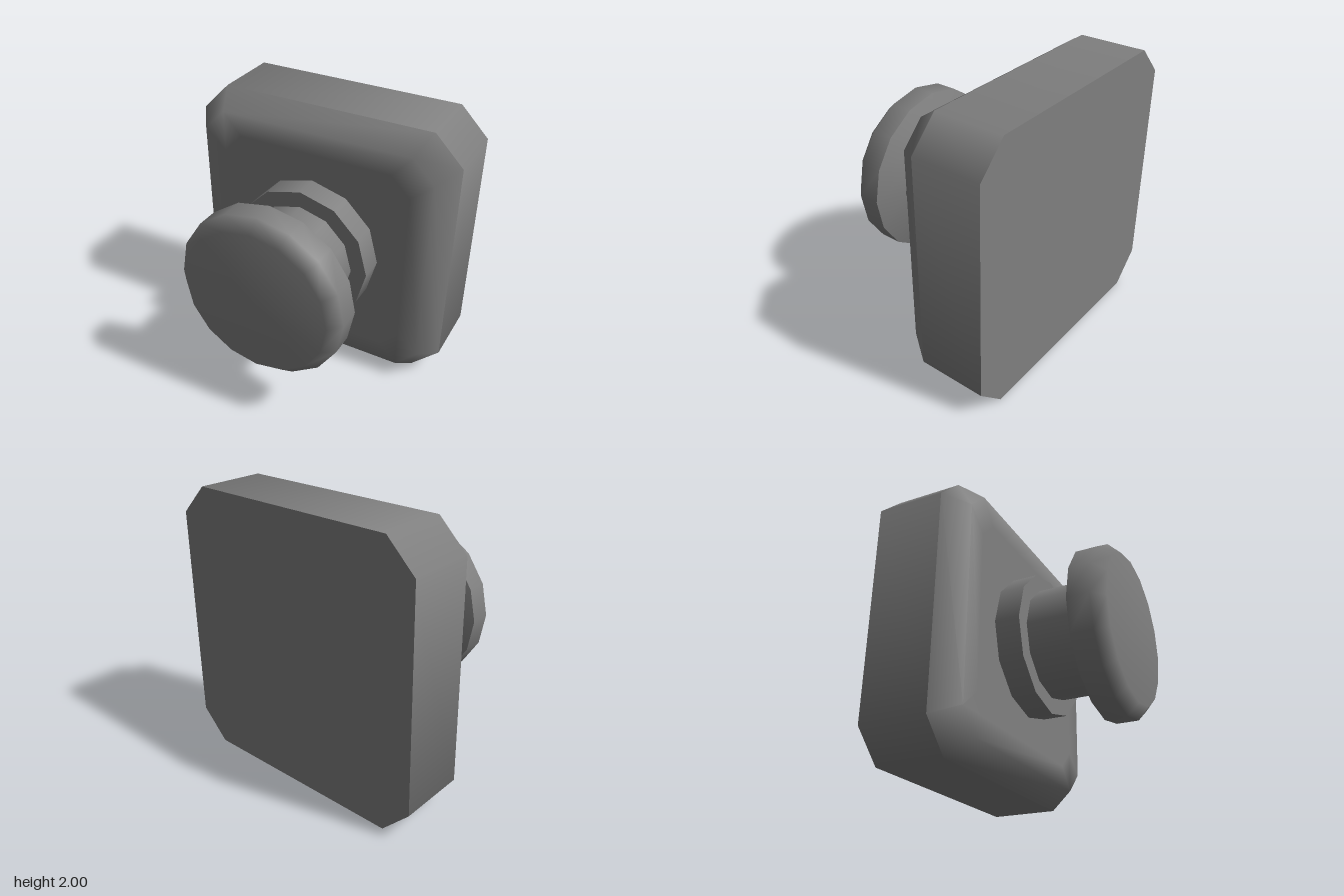
import * as THREE from 'three';

const material = new THREE.MeshStandardMaterial({ color: 0x808080 });

// Chamfered square, counter-clockwise seen from the front
function chamferedSquare(half, straight, z) {
  const a = half, b = straight;
  return [[a, -b], [a, b], [b, a], [-b, a], [-a, b], [-a, -b], [-b, -a], [b, -a]]
    .map(([x, y]) => [x, y, z]);
}

// Skin consecutive rings; a ring of identical points closes the end
function loft(rings) {
  const n = rings[0].length, index = [];
  for (let r = 0; r < rings.length - 1; r++) {
    for (let i = 0; i < n; i++) {
      const j = (i + 1) % n, a = r * n + i, b = r * n + j;
      index.push(a, b, b + n, a, b + n, a + n);
    }
  }
  const geometry = new THREE.BufferGeometry();
  geometry.setAttribute('position', new THREE.Float32BufferAttribute(rings.flat(2), 3));
  geometry.setIndex(index);
  geometry.computeVertexNormals();
  return geometry;
}

// Turned part along z, from [radius, z] pairs
function turned(profile, sides) {
  const points = profile.map(([r, z]) => new THREE.Vector2(r, z));
  return new THREE.LatheGeometry(points, sides).rotateX(Math.PI / 2);
}

export function createModel() {
  const model = new THREE.Group();
  const add = (name, geometry) => {
    const mesh = new THREE.Mesh(geometry, material);
    mesh.name = name;
    mesh.position.y = 1;
    model.add(mesh);
  };

  const back = chamferedSquare(1, 0.79, -0.74);
  const rim = chamferedSquare(1, 0.79, -0.245);
  const face = chamferedSquare(0.88, 0.72, -0.07);
  const inner = chamferedSquare(0.72, 0.58, -0.07);
  const centre = (z) => back.map(() => [0, 0, z]);

  // Flat back of the base plate
  add('plateBack', loft([centre(-0.74), back]));

  // Rim, shaded evenly around the cut corners
  const side = loft([back, rim]);
  for (let i = 0; i < 16; i++) {
    const angle = (i % 8 - 0.5) * Math.PI / 4;
    side.attributes.normal.setXYZ(i, Math.cos(angle), Math.sin(angle), 0);
  }
  add('plateRim', side);

  // Bevelled front, blending softly into a flat middle
  const front = loft([rim, face, inner, centre(-0.07)]);
  for (let i = 16; i < 32; i++) front.attributes.normal.setXYZ(i, 0, 0, 1);
  add('plateFront', front);

  // Collar and neck
  add('collar', turned([[0.52, -0.07], [0.52, 0.11]], 12));
  add('collarFace', turned([[0.52, 0.11], [0.36, 0.11]], 12));
  add('neck', turned([[0.403, 0.11], [0.403, 0.42]], 12));

  // Knob head with a flared underside and rounded front
  add('headFlare', turned([[0.38, 0.42], [0.403, 0.42], [0.623, 0.495]], 16));
  add('head', turned([[0.623, 0.495], [0.623, 0.655], [0.54, 0.74], [0, 0.74]], 16));

  return model;
}
